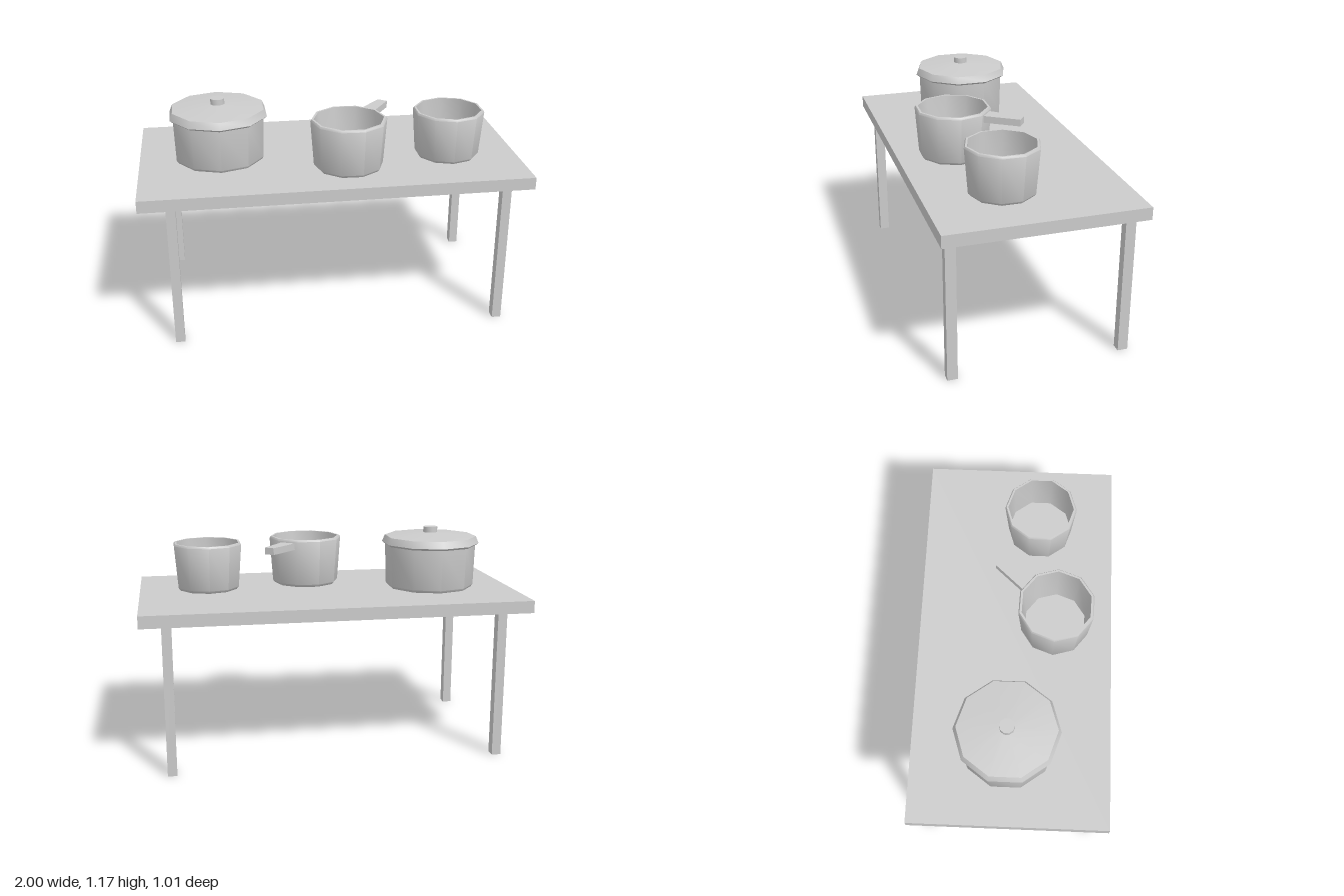
import * as THREE from 'three';
import { toCreasedNormals } from 'three/addons/utils/BufferGeometryUtils.js';

const SIDES = 10;
const TABLE_TOP = 0.84;
const material = new THREE.MeshStandardMaterial({ color: 0xcccccc });

function add(parent, name, geometry, x = 0, y = 0, z = 0) {
  const mesh = new THREE.Mesh(geometry, material);
  mesh.name = name;
  mesh.position.set(x, y, z);
  parent.add(mesh);
  return mesh;
}

// Ten-sided turned solid, smooth around and sharp at rims
function turned(profile, start = 0) {
  const points = profile.map(([r, y]) => new THREE.Vector2(r, y));
  return toCreasedNormals(new THREE.LatheGeometry(points, SIDES, start), 0.68);
}

// Open vessel: chamfered foot, flared wall, bevelled rim, inner wall and floor
function vessel(height, foot, rim, innerRim, innerFloor, start = 0) {
  return turned([
    [0, 0], [foot - 0.012, 0], [foot, 0.014], [rim, height - 0.01],
    [rim - 0.006, height], [innerRim, height], [innerFloor, 0.02], [0, 0.02],
  ], start);
}

function potGroup(parent, name, x, z) {
  const group = new THREE.Group();
  group.name = name;
  group.position.set(x, TABLE_TOP, z);
  parent.add(group);
  return group;
}

export function createModel() {
  const model = new THREE.Group();
  model.name = 'tableWithPots';

  // Table
  const table = new THREE.Group();
  table.name = 'table';
  model.add(table);
  add(table, 'tableTop', new THREE.BoxGeometry(2, 0.064, 1.01), 0, TABLE_TOP - 0.032, 0);
  for (const [x, side] of [[-0.841, 'Right'], [0.867, 'Left']]) {
    for (const [z, end] of [[0.437, 'front'], [-0.454, 'back']]) {
      add(table, `${end}${side}Leg`, new THREE.BoxGeometry(0.048, 0.777, 0.053), x, 0.3885, z);
    }
  }

  // Large lidded pot
  const casserole = potGroup(model, 'liddedPot', -0.577, -0.016);
  add(casserole, 'potBody', turned([[0, 0], [0.23, 0], [0.24, 0.014], [0.246, 0.235], [0, 0.235]]));
  add(casserole, 'lid', turned([
    [0, 0.23], [0.25, 0.23], [0.264, 0.241], [0.248, 0.278], [0.038, 0.297], [0, 0.297],
  ]));
  add(casserole, 'lidKnob', turned([[0, 0.29], [0.038, 0.29], [0.038, 0.327], [0, 0.327]]));

  // Saucepan, turned so its handle points to the back left
  const saucepan = potGroup(model, 'saucepan', 0.083, 0.206);
  saucepan.rotation.y = THREE.MathUtils.degToRad(142);
  add(saucepan, 'panBody', vessel(0.262, 0.182, 0.199, 0.182, 0.162, Math.PI / SIDES));
  const outline = new THREE.Shape([
    new THREE.Vector2(-0.042, 0.18), new THREE.Vector2(0.042, 0.18),
    new THREE.Vector2(0.027, 0.381), new THREE.Vector2(-0.027, 0.381),
  ]);
  const handle = new THREE.ExtrudeGeometry(outline, { depth: 0.036, bevelEnabled: false });
  handle.rotateX(Math.PI / 2);
  add(saucepan, 'panHandle', handle, 0, 0.245, 0);

  // Small open pot
  const smallPot = potGroup(model, 'smallPot', 0.632, 0.111);
  add(smallPot, 'smallPotBody', vessel(0.253, 0.17, 0.188, 0.172, 0.17));

  return model;
}
